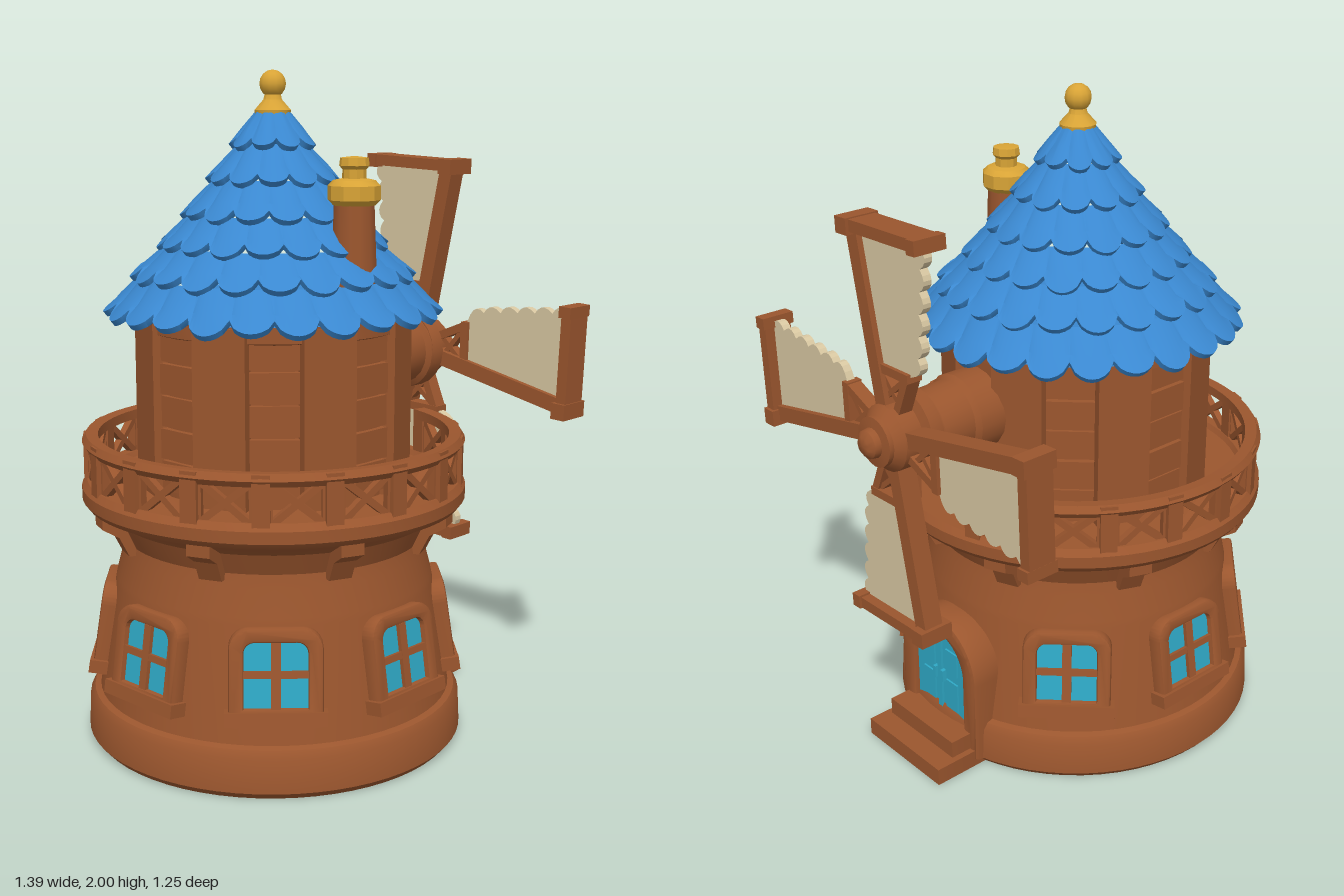
import * as THREE from 'three';
import { toCreasedNormals } from 'three/addons/utils/BufferGeometryUtils.js';

const paint = (name, color) => Object.assign(new THREE.MeshStandardMaterial({ color }), { name });
const wood = paint('brown', 0x9b562e);
const roofBlue = paint('roof blue', 0x3a88d0);
const gold = paint('gold', 0xd9a436);
const glass = paint('turquoise', 0x2fa9c6);
const cloth = paint('cream cloth', 0xd9c8a2);
const PI = Math.PI;

function add(parent, name, geo, mat, x = 0, y = 0, z = 0) {
  const m = new THREE.Mesh(geo, mat);
  m.name = name;
  m.position.set(x, y, z);
  parent.add(m);
  return m;
}
function group(parent, name, x = 0, y = 0, z = 0) {
  const g = new THREE.Group();
  g.name = name;
  g.position.set(x, y, z);
  parent.add(g);
  return g;
}
// Holder turned about the tower axis; its +z points outwards
function spoke(parent, name, angle) {
  const g = group(parent, name);
  g.rotation.y = angle;
  return g;
}
const box = (w, h, d) => new THREE.BoxGeometry(w, h, d);
function lathe(points, segs, start = 0, length = PI * 2) {
  const p = points.map(([x, y]) => new THREE.Vector2(x, y));
  return toCreasedNormals(new THREE.LatheGeometry(p, segs, start, length), 0.6);
}
// Straight bar between two points in the xy plane
function bar(parent, name, [x0, y0], [x1, y1], width, depth, mat = wood, z = 0) {
  const len = Math.hypot(x1 - x0, y1 - y0);
  const m = add(parent, name, box(len, width, depth), mat, (x0 + x1) / 2, (y0 + y1) / 2, z);
  m.rotation.z = Math.atan2(y1 - y0, x1 - x0);
}
// Upright outline with rounded top corners of radius r
function arch(w, y0, y1, r, Type = THREE.Shape) {
  const s = new Type();
  s.moveTo(-w, y0);
  s.lineTo(w, y0);
  s.lineTo(w, y1 - r);
  s.absarc(w - r, y1 - r, r, 0, PI / 2, false);
  s.lineTo(-w + r, y1);
  s.absarc(-w + r, y1 - r, r, PI / 2, PI, false);
  s.lineTo(-w, y0);
  return s;
}
function archFrame(outer, inner, depth, bevel) {
  const s = arch(...outer);
  s.holes.push(arch(...inner, THREE.Path));
  const g = new THREE.ExtrudeGeometry(s, {
    depth, bevelEnabled: true, bevelSize: bevel, bevelThickness: bevel, bevelOffset: -bevel, bevelSegments: 2, curveSegments: 10 });
  return toCreasedNormals(g, 0.7);
}

// One ring of rounded shingles with a scalloped lower edge
function shingleRing(r0, y0, r1, y1, count, scale) {
  const per = 8, n = count * per, pos = [], idx = [];
  for (let i = 0; i <= n; i++) {
    const a = (i / n) * PI * 2, s = Math.pow(Math.abs(Math.sin((i / per) * PI)), 0.6);
    const lift = (1 - s) * 0.035 * scale;
    const tilt = Math.sin(Math.floor(i / per) * 2.4) * 0.006 * scale * s;
    const rows = [
      [r0 - 0.07 * scale, y0 + 0.04 * scale],
      [r0 - 0.012 - lift, y0 + lift - tilt],
      [r0 - lift, y0 + 0.015 + lift - tilt],
      [r0 * 0.6 + r1 * 0.4 - lift * 0.5, y0 * 0.6 + y1 * 0.4 + 0.012],
      [r1, y1]];
    for (const [r, y] of rows) pos.push(r * Math.sin(a), y, r * Math.cos(a));
    if (i < n) for (let j = 0; j < 4; j++) {
      const p = i * 5 + j;
      idx.push(p, p + 5, p + 1, p + 5, p + 6, p + 1);
    }
  }
  const g = new THREE.BufferGeometry();
  g.setAttribute('position', new THREE.Float32BufferAttribute(pos, 3));
  g.setIndex(idx);
  return toCreasedNormals(g, 0.8);
}

function addWindow(tower, angle) {
  const w = group(spoke(tower, 'window', angle), 'windowParts', 0, 0.345, 0.51);
  w.rotation.x = -0.15;
  add(w, 'windowFrame', archFrame([0.133, -0.135, 0.137, 0.06], [0.09, -0.09, 0.095, 0.03], 0.05, 0.01), wood, 0, 0, -0.035);
  add(w, 'windowSill', box(0.29, 0.04, 0.07), wood, 0, -0.118, 0);
  add(w, 'windowPane', box(0.2, 0.2, 0.008), glass, 0, 0, 0.004);
  add(w, 'windowMullion', box(0.028, 0.19, 0.02), wood, 0, 0, 0.01);
  add(w, 'windowCrossbar', box(0.19, 0.02, 0.018), wood, 0, 0.005, 0.01);
}

function addDoor(tower) {
  const d = spoke(tower, 'door', PI / 2);
  add(d, 'doorFrame', archFrame([0.182, 0.02, 0.46, 0.17], [0.118, 0.1, 0.4, 0.115], 0.12, 0.015), wood, 0, 0, 0.44);
  add(d, 'doorPanel', new THREE.ExtrudeGeometry(arch(0.125, 0.1, 0.405, 0.12), { depth: 0.01, bevelEnabled: false }), glass, 0, 0, 0.548);
  add(d, 'doorCentreStrip', box(0.018, 0.28, 0.008), glass, 0, 0.255, 0.562);
  for (const s of [-1, 1]) {
    for (const [y, h] of [[0.31, 0.08], [0.19, 0.1]])
      add(d, 'doorInset', box(0.055, h, 0.008), glass, s * 0.055, y, 0.56);
    add(d, 'doorHandle', box(0.012, 0.04, 0.016), glass, s * 0.018, 0.25, 0.565);
  }
  add(d, 'upperStep', archFrameStep(0.155, 0.655, 0.06), wood, 0, 0.05, 0);
  add(d, 'lowerStep', archFrameStep(0.175, 0.725, 0.055), wood, 0, 0, 0);
}
// Flat step with rounded outer corners
function archFrameStep(w, reach, h) {
  const g = new THREE.ExtrudeGeometry(arch(w, -reach + 0.01, -0.4, 0.01), { depth: h, bevelEnabled: false });
  return g.rotateX(PI / 2).scale(1, 1, 1).rotateY(0).translate(0, h, 0).rotateY(PI).scale(1, 1, 1)
    .applyMatrix4(new THREE.Matrix4()), toCreasedNormals(g, 0.6);
}

function addRailing(tower) {
  const gap = 0.28, panels = 16, step = (PI * 2 - gap * 2) / panels, r = 0.552;
  const rail = lathe([[0.53, 0.905], [0.565, 0.9], [0.578, 0.918], [0.565, 0.938], [0.53, 0.935], [0.53, 0.905]],
    72, PI / 2 + gap, PI * 2 - gap * 2);
  add(tower, 'handrail', rail, wood);
  for (let i = 0; i <= panels; i++) {
    const a = PI / 2 + gap + i * step;
    add(spoke(tower, 'railPost', a), 'post', box(0.05, 0.15, 0.042), wood, 0, 0.86, r);
    if (i === panels) break;
    const p = group(spoke(tower, 'railPanel', a + step / 2), 'lattice', 0, 0, r - 0.008);
    for (const s of [-1, 1]) {
      bar(p, 'crossBrace', [-0.075 * s, 0.79], [0.075 * s, 0.91], 0.02, 0.022);
      bar(p, 'sideBrace', [0.075 * s, 0.79], [0.075 * s, 0.91], 0.016, 0.022);
    }
  }
}

function addSails(model) {
  const wheel = group(model, 'sailWheel', 0.575, 1.11, 0);
  wheel.rotation.y = PI / 2;
  const hub = lathe([[0, -0.08], [0.125, -0.08], [0.13, -0.035], [0.1, -0.025], [0.1, 0.035], [0.075, 0.06], [0.075, 0.075],
    [0.045, 0.08], [0.042, 0.1], [0.025, 0.113], [0, 0.115]], 20).rotateX(PI / 2);
  add(wheel, 'hub', hub, wood);
  // Ragged free edge made of small scallops
  const sail = new THREE.Shape();
  sail.moveTo(-0.06, 0.2);
  sail.lineTo(0.1, 0.21);
  for (let i = 0; i < 6; i++) {
    const y = 0.21 + i * 0.065, x = 0.135 + i * 0.006;
    sail.quadraticCurveTo(x + 0.035, y + 0.025, x, y + 0.065);
  }
  sail.lineTo(-0.12, 0.6);
  const sailGeo = new THREE.ExtrudeGeometry(sail, { depth: 0.026, bevelEnabled: false, curveSegments: 5 });
  for (let i = 0; i < 4; i++) {
    const b = group(wheel, 'blade');
    b.rotation.z = i * PI / 2;
    add(b, 'sailCloth', sailGeo, cloth, 0, 0, -0.013);
    bar(b, 'spar', [-0.015, 0.06], [-0.128, 0.6], 0.048, 0.062);
    bar(b, 'tipBar', [-0.155, 0.595], [0.185, 0.608], 0.035, 0.09);
    bar(b, 'tipKnobInner', [-0.16, 0.592], [-0.11, 0.594], 0.048, 0.11);
    bar(b, 'tipKnobOuter', [0.155, 0.604], [0.19, 0.606], 0.042, 0.105);
    bar(b, 'innerBar', [-0.05, 0.202], [0.1, 0.206], 0.026, 0.05);
    bar(b, 'strut', [0.035, 0.08], [0.085, 0.2], 0.026, 0.045);
    bar(b, 'braceA', [-0.03, 0.105], [0.075, 0.195], 0.016, 0.03);
    bar(b, 'braceB', [0.045, 0.105], [-0.04, 0.195], 0.016, 0.03);
  }
}

export function createModel() {
  const model = new THREE.Group();
  model.name = 'windmill';
  const tower = group(model, 'tower', -0.115, 0, 0);

  // Stone foot, tapering wall, flared deck
  add(tower, 'lowerTower', lathe([[0, 0], [0.56, 0], [0.577, 0.02], [0.572, 0.12], [0.558, 0.142], [0.54, 0.148],
    [0.487, 0.48], [0.483, 0.5], [0.462, 0.58], [0.455, 0.62], [0.485, 0.685], [0.55, 0.722], [0.568, 0.728], [0.581, 0.745],
    [0.581, 0.78], [0.565, 0.8], [0.53, 0.8], [0.52, 0.785], [0.3, 0.785]], 64), wood);
  for (let i = 0; i < 8; i++) {
    const a = i * PI / 4;
    if (i !== 2) addWindow(tower, a);
    // Deck brackets
    const s = new THREE.Shape([[0.44, 0.6], [0.475, 0.6], [0.505, 0.66], [0.555, 0.69], [0.555, 0.735], [0.44, 0.735]]
      .map(([x, y]) => new THREE.Vector2(x, y)));
    const g = new THREE.ExtrudeGeometry(s, { depth: 0.07, bevelEnabled: false }).translate(0, 0, -0.035).rotateY(-PI / 2);
    add(spoke(tower, 'deckBracket', a + PI / 8), 'bracket', g, wood);
    // Upright planks of the upper drum
    add(spoke(tower, 'drumPlank', a + PI / 8), 'plank', box(0.16, 0.52, 0.06), wood, 0, 1.04, 0.377);
    const panel = spoke(tower, 'drumPanel', a);
    for (let j = 0; j < 5; j++)
      add(panel, 'panelBoard', box(0.14, 0.088, 0.03), wood, 0, 0.85 + j * 0.095, 0.372 + (j % 2) * 0.004);
  }
  add(tower, 'upperDrum', lathe([[0.375, 0.78], [0.375, 1.25], [0.4, 1.26], [0.4, 1.31], [0, 1.33]], 48), wood);
  addDoor(tower);
  addRailing(tower);

  // Roof, from the eaves upwards
  const tiers = [[0.505, 1.285, 24], [0.425, 1.39, 21], [0.345, 1.48, 18], [0.275, 1.57, 15], [0.2, 1.67, 12], [0.13, 1.77, 9]];
  tiers.forEach(([r, y, count], i) => {
    const next = tiers[i + 1] || [0.035, 1.885];
    add(tower, 'shingleRing', shingleRing(r, y, Math.max(next[0] - 0.03, 0.03), next[1] + 0.02, count, 1 - i * 0.07), roofBlue);
  });
  add(tower, 'roofUnderside', new THREE.CylinderGeometry(0.36, 0.46, 0.02, 48), roofBlue, 0, 1.325, 0);

  // Finial
  add(tower, 'finialBase', lathe([[0, 1.86], [0.052, 1.865], [0.055, 1.885], [0.028, 1.915], [0.022, 1.94], [0, 1.94]], 12), gold);
  add(tower, 'finialBall', new THREE.SphereGeometry(0.04, 12, 8), gold, 0, 1.96, 0);

  // Chimney
  const chimney = group(tower, 'chimney', 0.01, 0, 0.31);
  add(chimney, 'chimneyStack', new THREE.CylinderGeometry(0.058, 0.068, 0.24, 12), wood, 0, 1.52, 0);
  add(chimney, 'chimneyCap', lathe([[0, 1.625], [0.06, 1.625], [0.075, 1.64], [0.075, 1.68], [0.06, 1.695], [0.034, 1.7],
    [0.034, 1.725], [0.043, 1.735], [0.04, 1.757], [0, 1.762]], 10), gold);

  // Axle housing
  const axle = lathe([[0.125, 0.2], [0.125, 0.36], [0.112, 0.375], [0.108, 0.48], [0.125, 0.49], [0.125, 0.53], [0, 0.53]], 20);
  add(model, 'axleHousing', axle.rotateZ(-PI / 2), wood, 0, 1.105, 0);
  addSails(model);
  return model;
}
